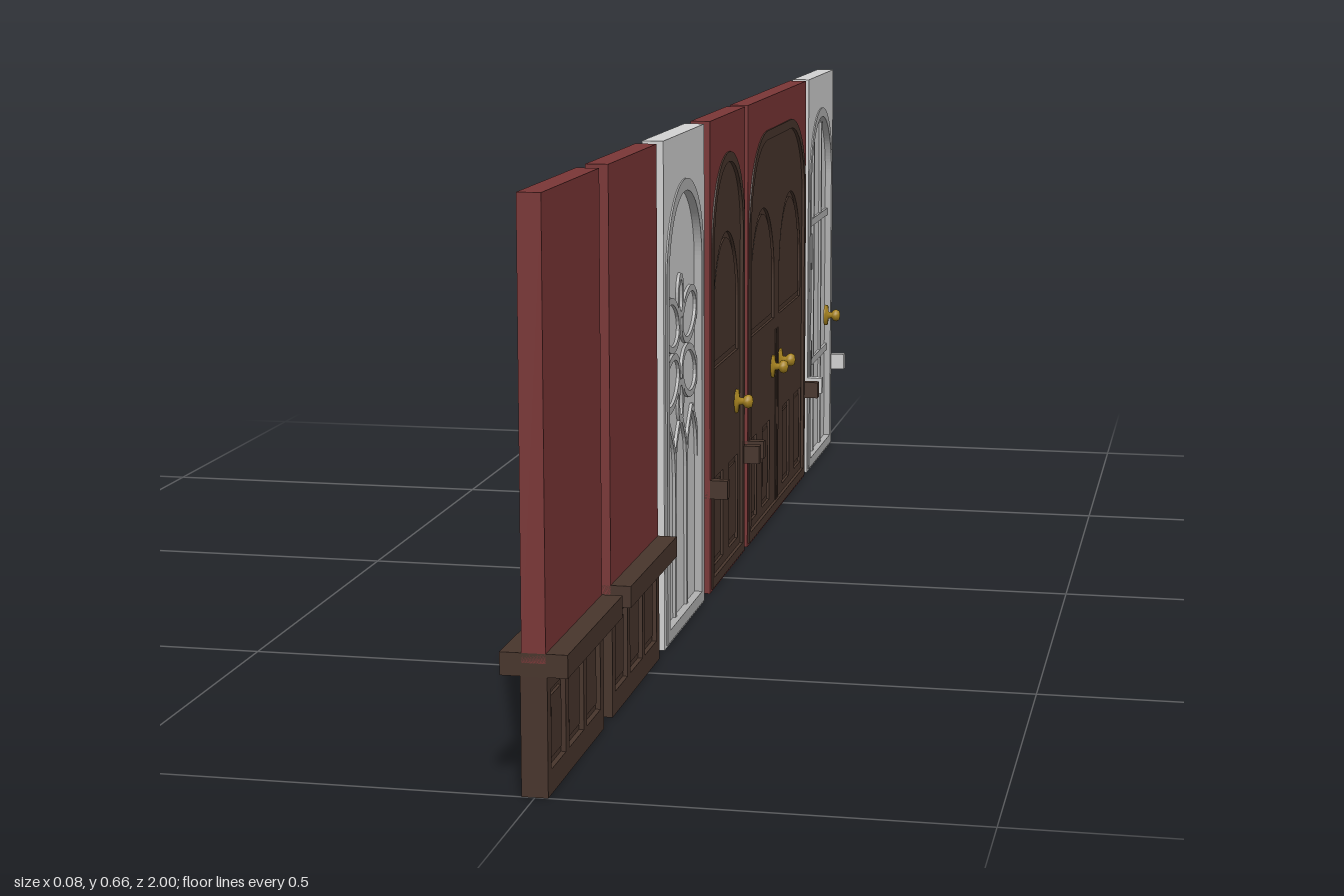
import * as THREE from 'three';

const mat = (name, color) => Object.assign(new THREE.MeshStandardMaterial({ color }), { name });

// Outline with an elliptically rounded top; a is the z coordinate, b is y.
function arch(P, a0, a1, b0, b1, rx = 0, ry = 0) {
  const p = new P();
  p.moveTo(a0, b0);
  p.lineTo(a1, b0);
  p.lineTo(a1, b1 - ry);
  if (rx) p.absellipse(a1 - rx, b1 - ry, rx, ry, 0, Math.PI / 2, false, 0);
  p.lineTo(a0 + rx, b1);
  if (rx) p.absellipse(a0 + rx, b1 - ry, rx, ry, Math.PI / 2, Math.PI, false, 0);
  p.closePath();
  return p;
}

export function createModel() {
  const red = mat('red wall', 0x7a3636);
  const wood = mat('dark wood', 0x48352c);
  const pale = mat('pale panel', 0xd2d2d2);
  const trim = mat('grey trim', 0xb2b2b2);
  const brass = mat('brass', 0xa88420);
  const iron = mat('hinge grey', 0x6a6a6a);
  const model = new THREE.Group();
  let group;

  const section = (name) => {
    group = new THREE.Group();
    group.name = name;
    model.add(group);
  };
  const add = (name, geo, material, x = 0, y = 0, z = 0) => {
    const m = new THREE.Mesh(geo, material);
    m.name = name;
    m.position.set(x, y, z);
    group.add(m);
    return m;
  };
  const box = (name, m, hx, y0, y1, z0, z1) =>
    add(name, new THREE.BoxGeometry(hx * 2, y1 - y0, Math.abs(z1 - z0)), m, 0, (y0 + y1) / 2, (z0 + z1) / 2);

  // Slab extruded evenly to both faces: outline in (z, y), half thickness hx
  const slab = (name, m, hx, shape, holes = []) => {
    shape.holes.push(...holes);
    const g = new THREE.ExtrudeGeometry(shape, { depth: hx * 2, bevelEnabled: false, curveSegments: 14 });
    g.translate(0, 0, -hx).rotateY(-Math.PI / 2);
    return add(name, g, m);
  };
  const ring = (name, m, hx, o, t) => {
    const [a0, a1, b0, b1, rx = 0, ry = 0] = o;
    slab(name, m, hx, arch(THREE.Shape, ...o), [
      arch(THREE.Path, a0 + t, a1 - t, b0 + t, b1 - t, rx && rx - t, ry && ry - t)]);
  };

  // Flat bar following a curve in (z, y)
  const bar = (name, m, hx, pts, w) => {
    const c = new THREE.SplineCurve(pts.map(p => new THREE.Vector2(...p)));
    const left = [], right = [];
    for (let i = 0; i <= 10; i++) {
      const p = c.getPoint(i / 10), t = c.getTangent(i / 10);
      left.push(new THREE.Vector2(p.x - t.y * w / 2, p.y + t.x * w / 2));
      right.unshift(new THREE.Vector2(p.x + t.y * w / 2, p.y - t.x * w / 2));
    }
    slab(name, m, hx, new THREE.Shape([...left, ...right]));
  };

  // Round knobs with rose plates on both faces
  const knobProfile = [[0.018, 0], [0.018, 0.004], [0.006, 0.006], [0.005, 0.012], [0.009, 0.015],
    [0.0105, 0.02], [0.008, 0.025], [0, 0.027]].map(p => new THREE.Vector2(...p));
  const knobs = (z) => {
    for (const s of [-1, 1])
      add('doorKnob', new THREE.LatheGeometry(knobProfile, 16), brass, s * 0.009, 0.235, z).rotation.z = -s * Math.PI / 2;
  };

  // Wall with an arched opening, raised casing and short rail ends
  const wall = (m, casing, z0, z1, o, t) => {
    slab('wallSurround', m, 0.0135, arch(THREE.Shape, z0, z1, 0, 0.658), [arch(THREE.Path, ...o)]);
    ring('archCasing', casing, 0.0155, o, t);
  };
  const railEnds = (m, z0, z1) => {
    box('railEnd', m, 0.038, 0.135, 0.161, z0, z0 + 0.015);
    box('railEnd', m, 0.038, 0.135, 0.161, z1 - 0.015, z1);
  };

  // Plain wall panels over wainscot
  for (const z1 of [1, 0.695]) {
    const z0 = z1 - 0.261;
    section('wainscotPanel');
    box('wall', red, 0.0135, 0.15, 0.658, z0, z1);
    box('chairRail', wood, 0.038, 0.135, 0.161, z0, z1);
    const cells = [[0.017, 0.083], [0.098, 0.166], [0.181, 0.245]];
    slab('wainscotFrame', wood, 0.015, arch(THREE.Shape, z0, z1, 0, 0.135),
      cells.map(([a, b]) => arch(THREE.Path, z0 + a, z0 + b, 0.028, 0.118)));
    box('wainscotCore', wood, 0.009, 0.01, 0.13, z0 + 0.005, z1 - 0.005);
    for (const [a, b] of cells) box('raisedField', wood, 0.0125, 0.038, 0.108, z0 + a + 0.01, z0 + b - 0.01);
  }

  // Pale traceried window panel
  section('traceryWindow');
  const c = 0.2645;
  wall(pale, trim, 0.134, 0.395, [c - 0.12, c + 0.12, 0.004, 0.598, 0.12, 0.12], 0.016);
  slab('pane', pale, 0.005, arch(THREE.Shape, c - 0.11, c + 0.11, 0.008, 0.59, 0.11, 0.11));
  const petal = (dz, y, a, b, rot) => {
    const s = new THREE.Shape().absellipse(c + dz, y, a, b, 0, Math.PI * 2, false, rot);
    slab('petal', trim, 0.009, s, [new THREE.Path().absellipse(c + dz, y, a - 0.009, b - 0.009, 0, Math.PI * 2, true, rot)]);
  };
  for (const s of [-1, 1]) {
    petal(s * 0.055, 0.412, 0.052, 0.036, s * 0.3);
    petal(s * 0.055, 0.336, 0.052, 0.036, -s * 0.3);
    box('mullion', trim, 0.009, 0.006, 0.22, c + s * 0.036 - 0.004, c + s * 0.036 + 0.004);
    bar('lancet', trim, 0.009, [[c + s * 0.036, 0.21], [c + s * 0.029, 0.25], [c, 0.284]], 0.008);
    bar('lancet', trim, 0.009, [[c + s * 0.036, 0.21], [c + s * 0.045, 0.25], [c + s * 0.075, 0.285]], 0.008);
    bar('lancet', trim, 0.009, [[c + s * 0.107, 0.21], [c + s * 0.1, 0.25], [c + s * 0.075, 0.285]], 0.008);
  }
  petal(0, 0.444, 0.018, 0.03, 0);
  petal(0, 0.304, 0.018, 0.03, 0);

  // Door leaf with sunken panels
  const leaf = (outline, panels) => {
    slab('doorLeaf', wood, 0.011, arch(THREE.Shape, ...outline), panels.map(p => arch(THREE.Path, ...p)));
    for (const [a0, a1, b0, b1, rx = 0, ry = 0] of panels) {
      slab('sunkenPanel', wood, 0.007, arch(THREE.Shape, a0, a1, b0, b1, rx, ry));
      const t = 0.009;
      slab('raisedField', wood, 0.0095, arch(THREE.Shape, a0 + t, a1 - t, b0 + t, b1 - t, rx && rx - t, ry && ry - t));
    }
  };

  // Single wooden door
  section('singleDoor');
  const d = -0.036;
  wall(red, wood, -0.167, 0.095, [d - 0.121, d + 0.121, 0.004, 0.605, 0.121, 0.121], 0.014);
  leaf([d - 0.112, d + 0.112, 0.006, 0.596, 0.112, 0.112], [
    [d - 0.092, d + 0.092, 0.31, 0.492, 0.092, 0.11],
    [d + 0.022, d + 0.088, 0.03, 0.155],
    [d - 0.088, d - 0.022, 0.03, 0.155]]);
  knobs(-0.115);
  railEnds(wood, -0.167, 0.095);

  // Double wooden door
  section('doubleDoor');
  const e = -0.451;
  wall(red, wood, -0.712, -0.19, [e - 0.253, e + 0.253, 0.004, 0.608, 0.15, 0.13], 0.014);
  const doublePanels = [];
  for (const s of [-1, 1]) {
    const span = (a, b, ...rest) => doublePanels.push([Math.min(e + s * a, e + s * b), Math.max(e + s * a, e + s * b), ...rest]);
    span(0.022, 0.222, 0.31, 0.492, 0.1, 0.12);
    span(0.06, 0.122, 0.03, 0.155);
    span(0.172, 0.234, 0.03, 0.155);
    knobs(e + s * 0.033);
  }
  doublePanels.push([e - 0.003, e + 0.003, 0.01, 0.29]);
  leaf([e - 0.244, e + 0.244, 0.006, 0.599, 0.141, 0.121], doublePanels.slice(0, 6));
  for (const s of [-1, 1]) box('meetingStile', wood, 0.0125, 0.006, 0.29, e + s * 0.002, e + s * 0.012);
  railEnds(wood, -0.712, -0.19);

  // Pale glazed door
  section('glazedDoor');
  const f = -0.87;
  wall(pale, trim, -1, -0.74, [f - 0.12, f + 0.12, 0.004, 0.602, 0.12, 0.12], 0.015);
  slab('pane', pale, 0.005, arch(THREE.Shape, f - 0.112, f + 0.112, 0.008, 0.594, 0.112, 0.112));
  for (const s of [-1, 1]) box('glazingBar', trim, 0.009, 0.006, 0.575, f + s * 0.038 - 0.004, f + s * 0.038 + 0.004);
  for (const y of [0.176, 0.414]) box('glazingRail', trim, 0.009, y - 0.006, y + 0.006, f - 0.11, f + 0.11);
  for (const y of [0.19, 0.37]) box('hinge', iron, 0.016, y - 0.03, y + 0.03, f + 0.1, f + 0.108);
  knobs(-0.955);
  railEnds(pale, -1, -0.74);

  return model;
}
